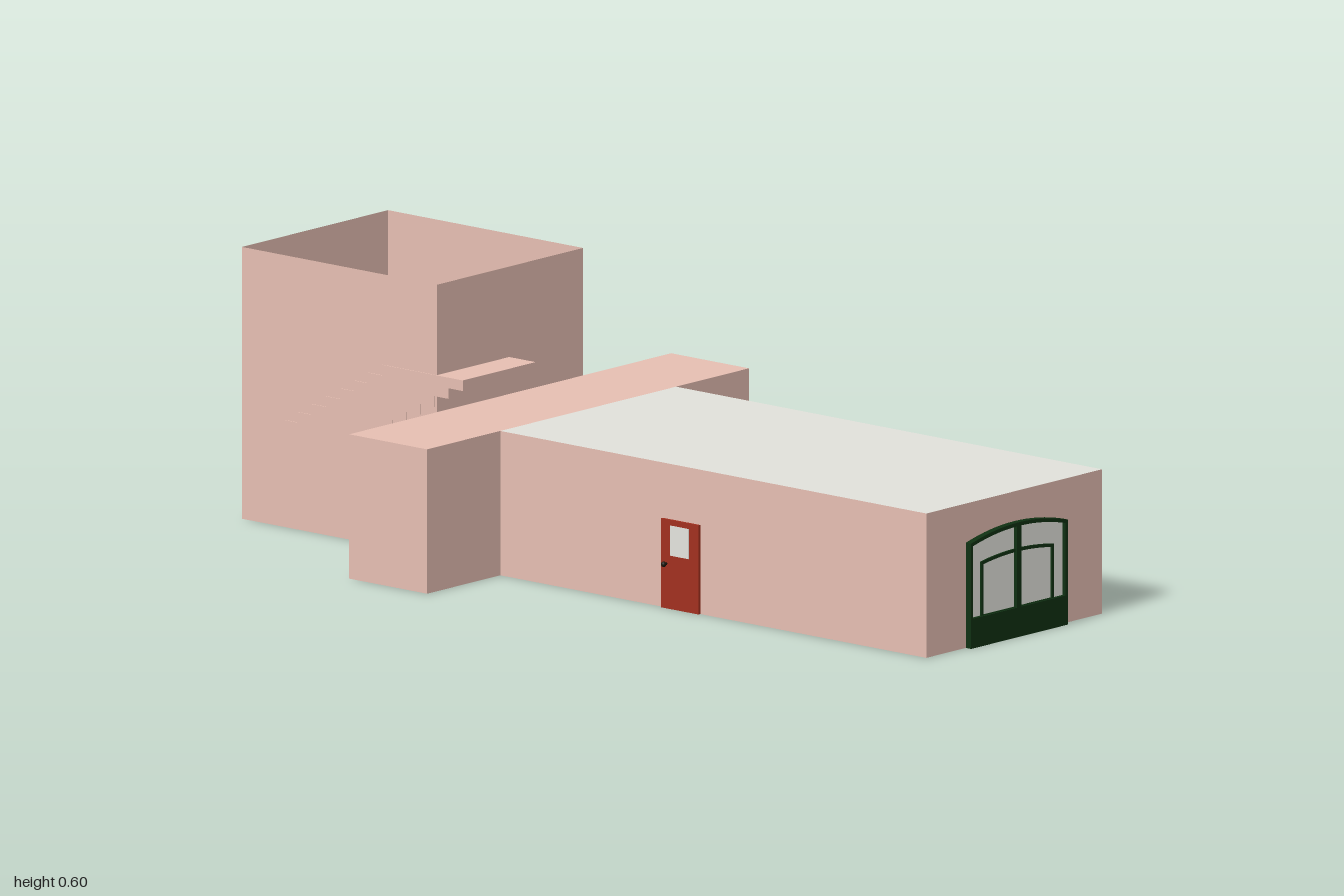
import * as THREE from 'three';

const mat = (name, color, side = THREE.FrontSide) => {
  const m = new THREE.MeshStandardMaterial({ color, side });
  m.name = name;
  return m;
};

export function createModel() {
  const group = new THREE.Group();
  const plaster = mat('pink plaster', 0xe7bfb3, THREE.DoubleSide);
  const roof = mat('pale roof', 0xe2e2db);
  const floor = mat('grey floor', 0xd4d4d4);
  const green = mat('dark green paint', 0x0f3012);
  const red = mat('red door paint', 0xa2301f);
  const glass = mat('pale glass', 0xe4e4de);
  const metal = mat('dark metal', 0x1c160c);

  const add = (name, geometry, material, parent = group) => {
    const mesh = new THREE.Mesh(geometry, material);
    mesh.name = name;
    parent.add(mesh);
    return mesh;
  };
  // Box given by its limits on each axis
  const box = (name, [x0, x1], [y0, y1], [z0, z1], material, parent) => {
    const mesh = add(name, new THREE.BoxGeometry(x1 - x0, y1 - y0, z1 - z0), material, parent);
    mesh.position.set((x0 + x1) / 2, (y0 + y1) / 2, (z0 + z1) / 2);
    return mesh;
  };
  // Box materials in order: +x, -x, top, bottom, +z, -z
  const faces = (top) => [plaster, plaster, top, floor, plaster, plaster];

  // Long hall and cross wing
  box('hall', [-0.284, 0.285], [0, 0.316], [-0.225, 0.985], faces(roof));
  box('crossWing', [-0.521, 0.521], [0, 0.316], [-0.446, -0.225], faces(plaster));

  // Roofless tower with thin walls
  const tower = new THREE.Group();
  tower.name = 'tower';
  group.add(tower);
  const [tx0, tx1, tz0, tz1, th] = [-0.237, 0.236, -1, -0.446, 0.595];
  const wall = (name, width, x, z, turn) => {
    const w = add(name, new THREE.PlaneGeometry(width, th), plaster, tower);
    w.position.set(x, th / 2, z);
    w.rotation.y = turn;
  };
  const midX = (tx0 + tx1) / 2, midZ = (tz0 + tz1) / 2;
  wall('towerFrontWall', tx1 - tx0, midX, tz1, 0);
  wall('towerBackWall', tx1 - tx0, midX, tz0, Math.PI);
  wall('towerLeftWall', tz1 - tz0, tx1, midZ, Math.PI / 2);
  wall('towerRightWall', tz1 - tz0, tx0, midZ, -Math.PI / 2);
  box('towerFloor', [tx0, tx1], [0, 0.004], [tz0, tz1], faces(plaster), tower);

  // Switchback stairs: lower flight, landing, upper flight of overlapping slabs
  const stairs = new THREE.Group();
  stairs.name = 'stairs';
  tower.add(stairs);
  const rise = 0.0232, run = 0.04;
  for (let i = 0; i < 8; i++) {
    const top = 0.397 - i * rise, z = -0.6 - i * run;
    box('upperStep', [-0.239, -0.003], [top - rise, top], [z, -0.371 - i * run], plaster, stairs);
  }
  for (let i = 0; i < 8; i++) {
    const top = 0.188 - i * rise, z = -0.77 + i * run;
    box('lowerStep', [-0.003, 0.235], [Math.max(0.004, top - rise), top], [z, z + run], plaster, stairs);
  }
  box('landing', [-0.236, 0.235], [0.188, 0.211], [-0.999, -0.77], plaster, stairs);

  // Closed outline with a shallow arched top; the arch is centred on x = 0
  const arched = (Type, x0, x1, y0, w, spring, crown) => {
    const s = new Type();
    s.moveTo(x0, y0);
    s.lineTo(x1, y0);
    for (let i = 0; i <= 16; i++) {
      const x = x1 + (x0 - x1) * i / 16;
      s.lineTo(x, spring + (crown - spring) * (1 - (x / w) ** 2));
    }
    s.closePath();
    return s;
  };
  const extrude = (shape, depth) =>
    new THREE.ExtrudeGeometry(shape, { depth, bevelEnabled: false });

  // Arched front gate with glazing
  const gate = new THREE.Group();
  gate.name = 'frontGate';
  gate.position.z = 0.985;
  group.add(gate);
  const frame = arched(THREE.Shape, -0.156, 0.157, 0, 0.157, 0.23, 0.251);
  frame.holes.push(
    arched(THREE.Path, -0.15, -0.007, 0.065, 0.156, 0.222, 0.243),
    arched(THREE.Path, 0.007, 0.15, 0.065, 0.156, 0.222, 0.243));
  add('gateFrame', extrude(frame, 0.015), green, gate);
  add('gateGlass', extrude(arched(THREE.Shape, -0.153, 0.153, 0.06, 0.156, 0.226, 0.247), 0.006), glass, gate);
  const inner = arched(THREE.Shape, -0.117, 0.118, 0.062, 0.118, 0.183, 0.193);
  inner.holes.push(arched(THREE.Path, -0.111, 0.112, 0.066, 0.117, 0.176, 0.186));
  add('gateInnerFrame', extrude(inner, 0.01), green, gate);

  // Matching side doors
  for (const side of [1, -1]) {
    const door = new THREE.Group();
    door.name = side > 0 ? 'leftDoor' : 'rightDoor';
    group.add(door);
    const span = (a, b) => (side > 0 ? [a, b] : [-b, -a]);
    box('doorLeaf', span(0.283, 0.29), [0, 0.195], [0.237, 0.343], red, door);
    box('doorWindow', span(0.286, 0.2908), [0.117, 0.183], [0.263, 0.316], glass, door);
    const stem = add('knobStem', new THREE.CylinderGeometry(0.003, 0.003, 0.012, 8), metal, door);
    stem.rotation.z = Math.PI / 2;
    stem.position.set(side * 0.295, 0.098, 0.252);
    const knob = add('knob', new THREE.SphereGeometry(0.006, 12, 8), metal, door);
    knob.position.set(side * 0.299, 0.098, 0.252);
  }

  return group;
}
